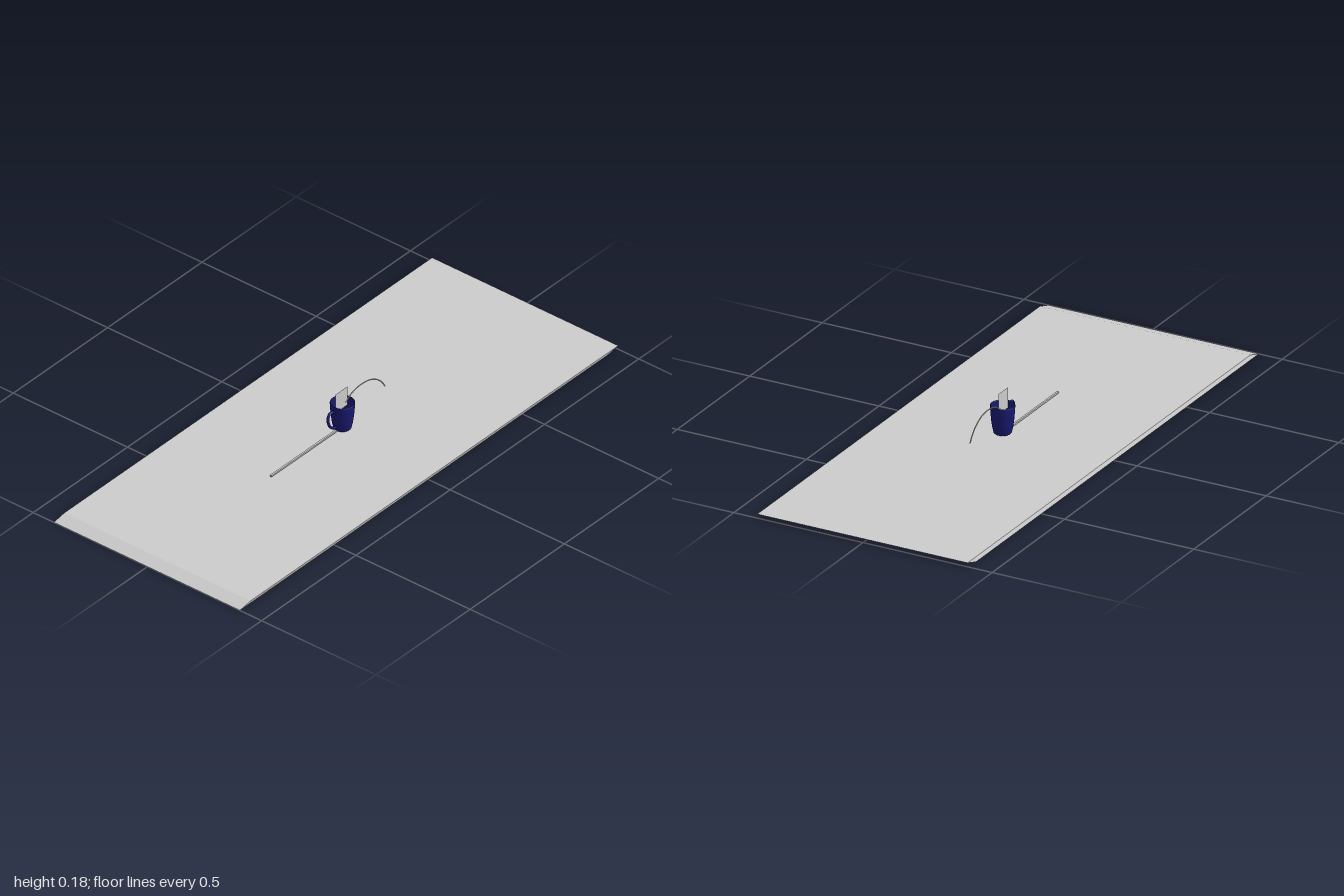
import * as THREE from 'three';

const CX = 0.005; // mug axis
const CZ = -0.028;

export function createModel() {
  const model = new THREE.Group();
  const grey = new THREE.MeshStandardMaterial({ color: 0xcccccc });
  const greyThin = new THREE.MeshStandardMaterial({ color: 0xcccccc, side: THREE.DoubleSide });
  const navy = new THREE.MeshStandardMaterial({ color: 0x191970, side: THREE.DoubleSide });

  const add = (name, geometry, material, parent = model) => {
    const mesh = new THREE.Mesh(geometry, material);
    mesh.name = name;
    parent.add(mesh);
    return mesh;
  };
  // Round tube through [z, y] points in the plane x = CX
  const tube = (points, radius, segments) => new THREE.TubeGeometry(
    new THREE.CatmullRomCurve3(points.map(([z, y]) => new THREE.Vector3(CX, y, z))),
    segments, radius, 10);

  // Table top: thin slab whose upper face is shifted back and sideways
  const slab = new THREE.BoxGeometry(0.815, 0.0145, 1.95);
  slab.translate(0, 0.00725, 0);
  const p = slab.attributes.position;
  for (let i = 0; i < p.count; i++) {
    const s = p.getY(i) > 0.007 ? 1 : -1;
    p.setX(i, p.getX(i) + s * 0.0025);
    p.setZ(i, p.getZ(i) - s * 0.025);
  }
  slab.computeVertexNormals();
  add('tableTop', slab, grey);

  // Mug: open cup with a wall, and a looped handle at the front
  const mug = new THREE.Group();
  mug.name = 'mug';
  model.add(mug);
  const profile = [
    [0, 0.022], [0.028, 0.022], [0.031, 0.025], [0.0355, 0.045], [0.039, 0.07],
    [0.0415, 0.098], [0.043, 0.123], [0.0425, 0.126], [0.040, 0.126], [0.0395, 0.123],
    [0.038, 0.098], [0.0355, 0.07], [0.032, 0.045], [0.027, 0.03], [0, 0.03],
  ].map(([x, y]) => new THREE.Vector2(x, y));
  add('cup', new THREE.LatheGeometry(profile, 40), navy, mug).position.set(CX, 0, CZ);
  add('handle', tube([
    [0.012, 0.103], [0.025, 0.112], [0.039, 0.113], [0.048, 0.1],
    [0.047, 0.08], [0.038, 0.06], [0.024, 0.047], [0.006, 0.04],
  ], 0.005, 40), navy, mug);

  // Tea bag: flat sheet standing in the cup
  const bag = add('teaBag', new THREE.PlaneGeometry(0.066, 0.076), greyThin);
  bag.rotation.y = Math.PI / 2;
  bag.position.set(CX, 0.138, -0.023);

  // String arching over the back of the rim
  add('string', tube([
    [-0.045, 0.115], [-0.07, 0.133], [-0.1, 0.143], [-0.135, 0.1455],
    [-0.175, 0.139], [-0.21, 0.121], [-0.237, 0.096], [-0.253, 0.071],
  ], 0.0022, 48), greyThin);

  // Stirring stick lying out to the front
  add('stick', new THREE.BoxGeometry(0.007, 0.006, 0.36), grey).position.set(CX - 0.002, 0.024, 0.17);

  return model;
}
